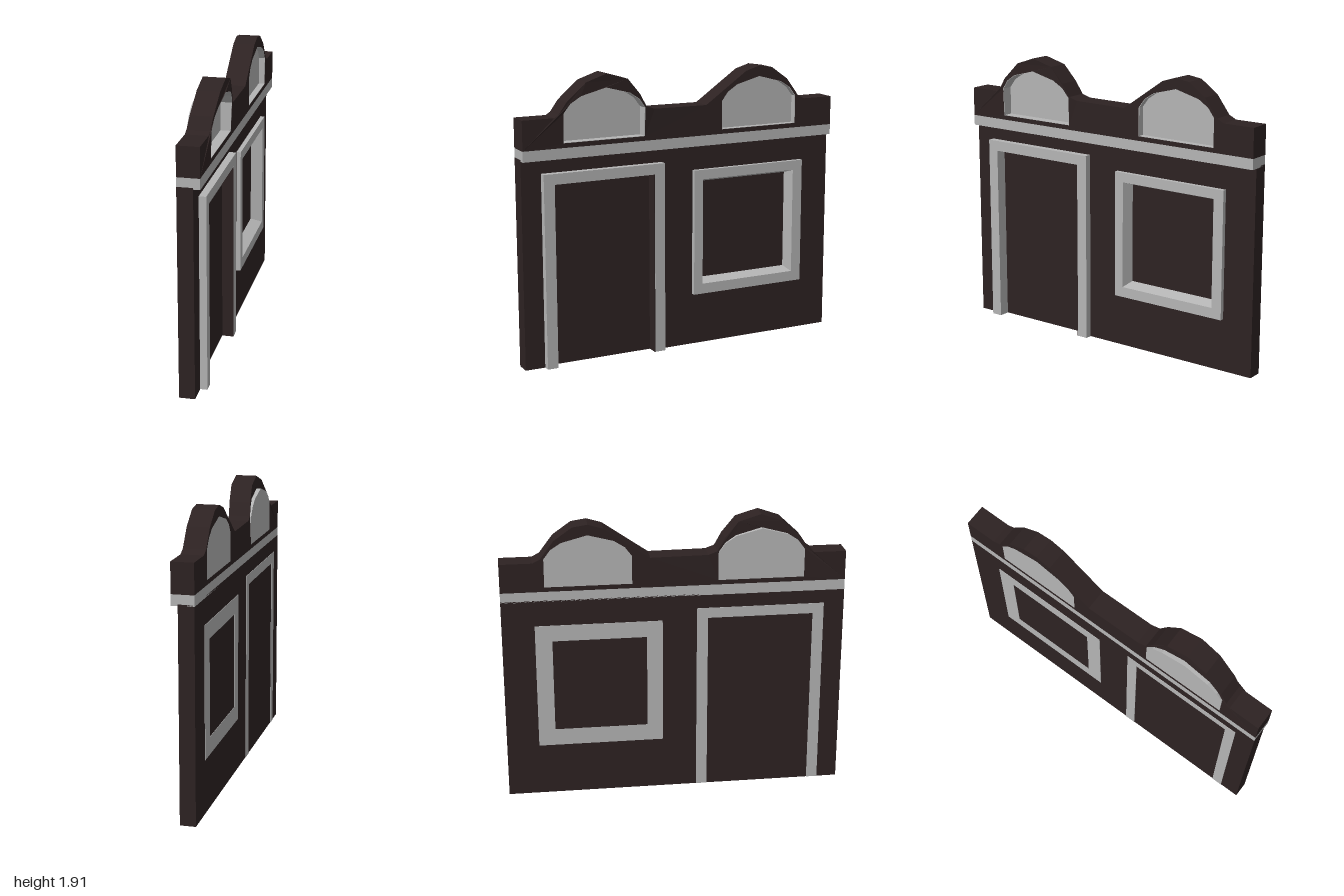
import * as THREE from 'three';

const dark = new THREE.MeshStandardMaterial({ color: 0x2d2222 });
dark.name = 'dark brown wall';
const grey = new THREE.MeshStandardMaterial({ color: 0xb4b4b4 });
grey.name = 'pale grey trim';

const BACK = -0.077;
const WALL_FRONT = 0.025;
const TOP_FRONT = 0.068;

const vectors = (pts) => pts.map(([x, y]) => new THREE.Vector2(x, y));
const rect = (x0, x1, y0, y1) => [[x0, y0], [x1, y0], [x1, y1], [x0, y1]];

// Upright slab cut from an outline with holes, between two depths
function slab(outline, holes, z0, z1) {
  const shape = new THREE.Shape(vectors(outline));
  holes.forEach((h) => shape.holes.push(new THREE.Path(vectors(h))));
  const geo = new THREE.ExtrudeGeometry(shape, { depth: z1 - z0, bevelEnabled: false });
  return geo.translate(0, 0, z0);
}

// Moves every vertex by a rule
function reshape(geo, rule) {
  const p = geo.attributes.position;
  const v = new THREE.Vector3();
  for (let i = 0; i < p.count; i++) {
    rule(v.fromBufferAttribute(p, i));
    p.setXYZ(i, v.x, v.y, v.z);
  }
  geo.computeVertexNormals();
  return geo;
}

// The left-hand gable swells slightly forward at its crown
function swell(v) {
  const across = Math.max(0, 1 - ((v.x + 0.57) / 0.37) ** 2);
  v.z += 0.03 * across * THREE.MathUtils.smoothstep(v.y, 1.5, 1.8);
}

export function createModel() {
  const model = new THREE.Group();
  const facade = new THREE.Group();
  facade.name = 'facade';
  facade.rotation.y = 0.562;
  model.add(facade);

  const add = (name, geo, mat) => {
    const mesh = new THREE.Mesh(geo, mat);
    mesh.name = name;
    facade.add(mesh);
  };

  // Lower wall, open at the doorway and window
  const wall = [
    [-1.135, 0], [-1.0, 0], [-1.0, 1.288], [-0.148, 1.288], [-0.148, 0],
    [1.135, 0], [1.135, 1.39], [-1.135, 1.39],
  ];
  add('wall', slab(wall, [rect(0.08, 0.92, 0.355, 1.215)], BACK, WALL_FRONT), dark);

  // Door surround and door
  const surround = [
    [-1.0, 0], [-0.926, 0], [-0.926, 1.22], [-0.222, 1.22],
    [-0.222, 0], [-0.148, 0], [-0.148, 1.29], [-1.0, 1.29],
  ];
  add('doorFrame', slab(surround, [], BACK - 0.003, 0.072), grey);
  add('door', slab(rect(-0.93, -0.218, 0, 1.224), [], BACK, -0.005), dark);
  add('doorJamb', slab(rect(-0.227, -0.221, 0, 1.22), [], -0.01, 0.071), dark);

  // Window frame whose opening narrows towards the back
  const frame = slab(
    rect(0.08, 0.92, 0.355, 1.215), [rect(0.145, 0.848, 0.425, 1.15)], BACK - 0.003, 0.055);
  reshape(frame, (v) => {
    const inner = v.x > 0.1 && v.x < 0.9 && v.y > 0.4 && v.y < 1.2;
    if (inner && v.z < 0) {
      v.x += v.x < 0.5 ? 0.04 : -0.04;
      v.y += v.y < 0.8 ? 0.045 : -0.045;
    }
  });
  add('windowFrame', frame, grey);
  add('windowPanel', slab(rect(0.14, 0.86, 0.42, 1.155), [], BACK, -0.025), dark);

  // Cornice band running through the full thickness
  add('cornice', slab(rect(-1.135, 1.135, 1.38, 1.45), [], BACK, TOP_FRONT), grey);

  // Parapet with two curved gables
  const leftGable = [
    [-0.35, 1.645], [-0.32, 1.665], [-0.27, 1.74], [-0.14, 1.86], [0, 1.908],
    [0.15, 1.865], [0.24, 1.76], [0.29, 1.675], [0.35, 1.655],
  ].map(([x, y]) => [x - 0.57, y]);
  const rightGable = [
    [-0.4, 1.652], [-0.33, 1.7], [-0.1, 1.86], [0, 1.89], [0.1, 1.875],
    [0.22, 1.79], [0.31, 1.67], [0.36, 1.645],
  ].map(([x, y]) => [x + 0.56, y]);
  const arch = (cx, s = 1) => [
    [-0.285, 1.48], [0.285, 1.48], [0.285, 1.67], [0.24, 1.73], [0.17, 1.775],
    [0, 1.82], [-0.17, 1.775], [-0.24, 1.73], [-0.285, 1.67],
  ].map(([x, y]) => [cx + x * s, 1.64 + (y - 1.64) * s]);
  const skyline = [
    [-1.135, 1.45], [-1.135, 1.645], ...leftGable, ...rightGable, [1.135, 1.645], [1.135, 1.45],
  ];
  const centres = [-0.574, 0.563];
  add('parapet', reshape(
    slab(skyline, centres.map((c) => arch(c)), BACK, TOP_FRONT), swell), dark);

  // Arched panes set back from the front, with pale reveals
  centres.forEach((c, i) => {
    const side = i ? 'left' : 'right';
    add(side + 'ArchReveal', reshape(
      slab(arch(c), [arch(c, 0.985)], BACK + 0.002, TOP_FRONT - 0.001), swell), grey);
    add(side + 'ArchPane', slab(arch(c), [], BACK, i ? 0.025 : 0), grey);
  });

  return model;
}
